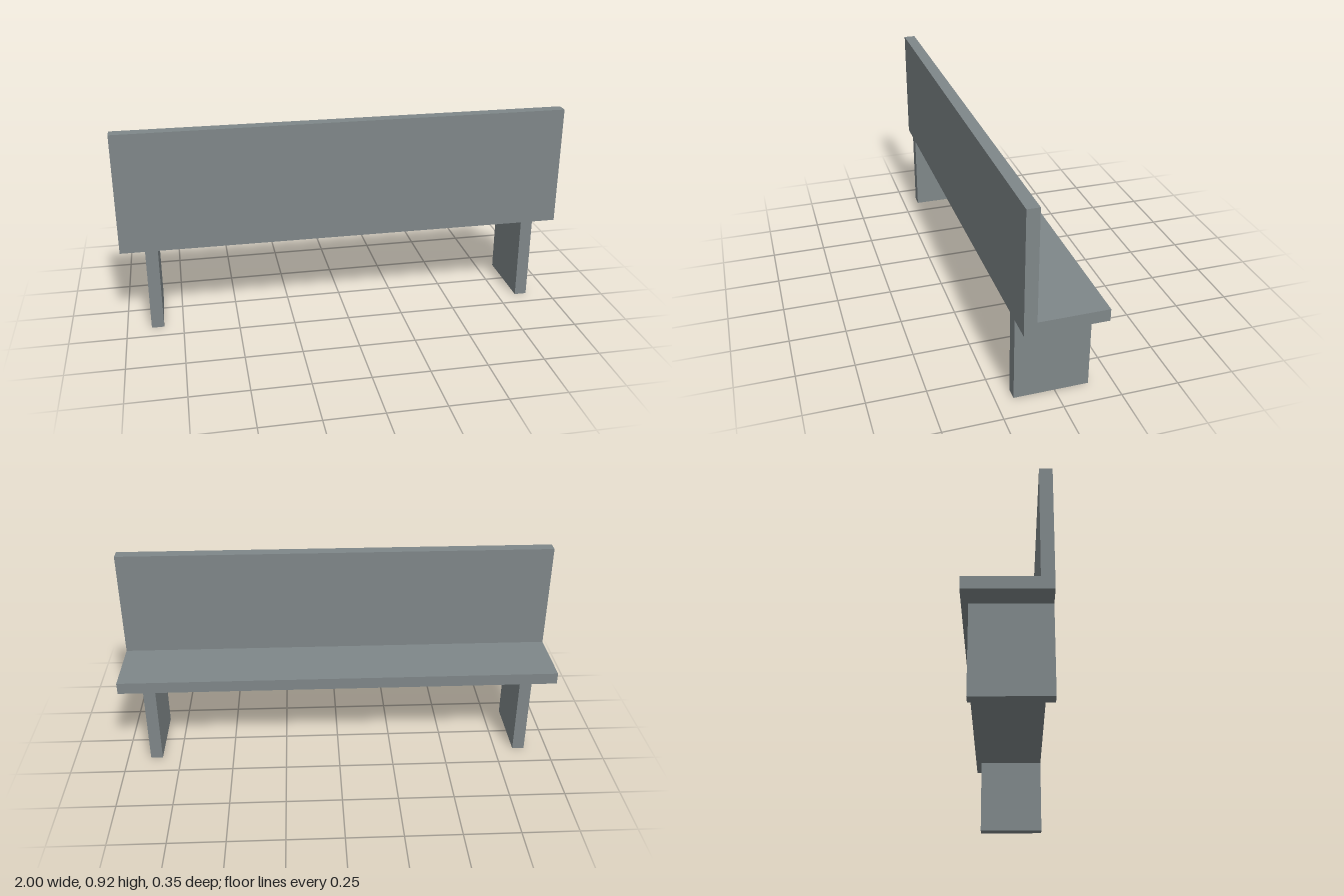
import * as THREE from 'three';

export function createModel() {
  const bench = new THREE.Group();
  bench.name = 'bench';
  const slate = new THREE.MeshStandardMaterial({ color: 0x7f8789 });
  slate.name = 'slateGrey';

  // Seat and backrest: one L-shaped profile (z, y) running the full length
  const length = 2;
  const profile = new THREE.Shape([
    [-0.175, 0.38], [0.175, 0.38], [0.175, 0.92],
    [0.122, 0.92], [0.122, 0.433], [-0.175, 0.433],
  ].map(([z, y]) => new THREE.Vector2(z, y)));
  const seatGeometry = new THREE.ExtrudeGeometry(profile, { depth: length, bevelEnabled: false });
  seatGeometry.translate(0, 0, -length / 2).rotateY(-Math.PI / 2);
  const seat = new THREE.Mesh(seatGeometry, slate);
  seat.name = 'seatAndBackrest';
  bench.add(seat);

  // Two slab legs, flush with the backrest face
  const legGeometry = new THREE.BoxGeometry(0.055, 0.38, 0.322);
  for (const side of [-1, 1]) {
    const leg = new THREE.Mesh(legGeometry, slate);
    leg.name = side > 0 ? 'leftLeg' : 'rightLeg';
    leg.position.set(side * 0.8645, 0.19, 0.014);
    bench.add(leg);
  }
  return bench;
}
